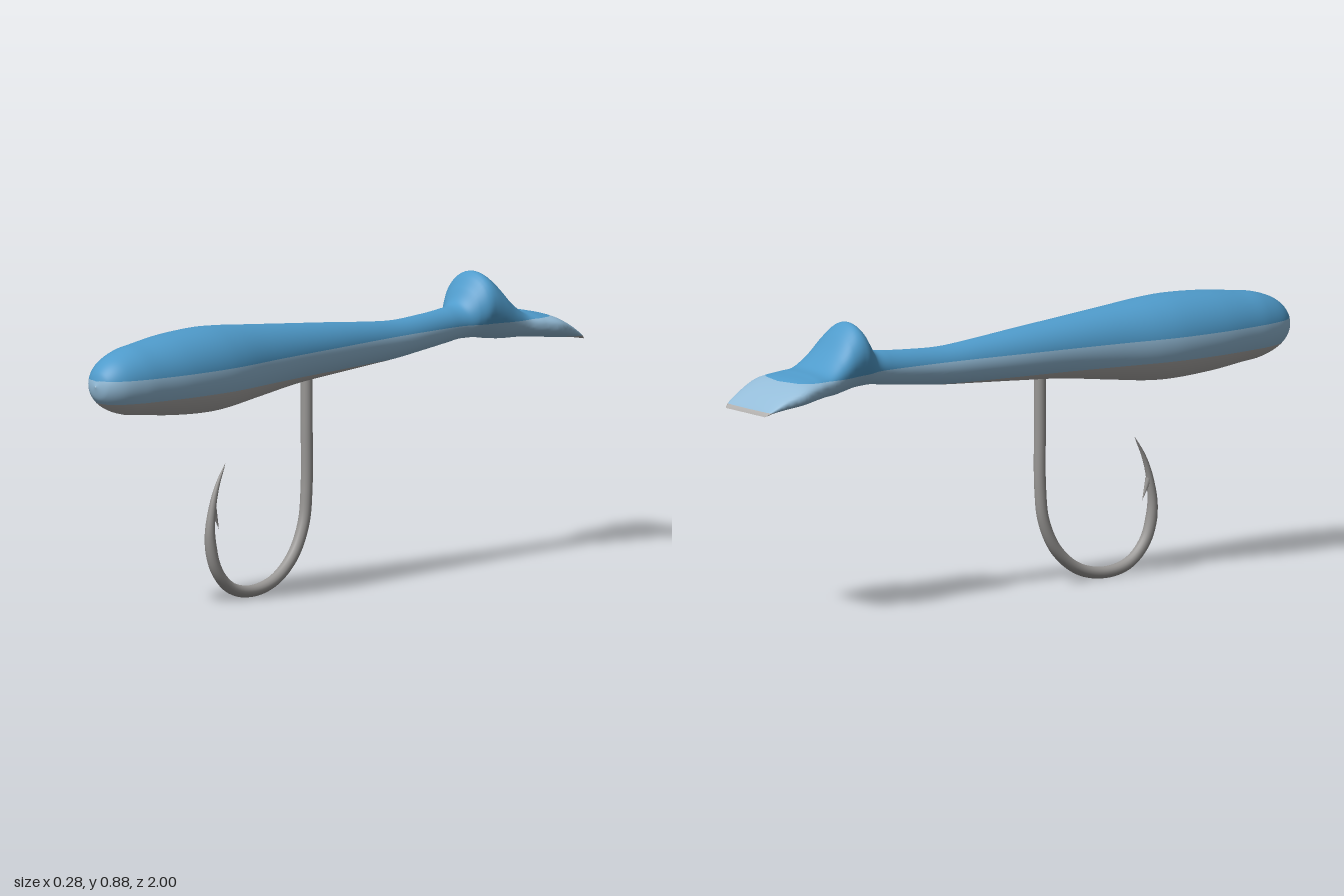
import * as THREE from 'three';

const mat = (name, color) => {
  const m = new THREE.MeshStandardMaterial({ color });
  m.name = name;
  return m;
};

// Body outline from nose to tail: z, top y, bottom y, half width
const OUTLINE = [
  [1, 0.713, 0.711, 0.001], [0.985, 0.755, 0.67, 0.042], [0.945, 0.79, 0.637, 0.075],
  [0.88, 0.814, 0.615, 0.097], [0.81, 0.824, 0.607, 0.11], [0.7, 0.837, 0.594, 0.124],
  [0.57, 0.843, 0.586, 0.129], [0.47, 0.839, 0.589, 0.124], [0.33, 0.826, 0.606, 0.106],
  [0.16, 0.81, 0.627, 0.089], [0, 0.795, 0.638, 0.076], [-0.15, 0.78, 0.647, 0.063],
  [-0.28, 0.77, 0.655, 0.055], [-0.4, 0.774, 0.667, 0.051], [-0.49, 0.781, 0.677, 0.051],
  [-0.545, 0.792, 0.684, 0.058], [-0.58, 0.838, 0.684, 0.08], [-0.605, 0.87, 0.683, 0.095],
  [-0.63, 0.88, 0.68, 0.1], [-0.665, 0.852, 0.674, 0.104], [-0.71, 0.799, 0.669, 0.108],
  [-0.76, 0.757, 0.669, 0.113], [-0.81, 0.745, 0.666, 0.127], [-0.87, 0.732, 0.659, 0.139],
  [-0.93, 0.704, 0.652, 0.125], [-0.975, 0.672, 0.648, 0.113], [-0.993, 0.655, 0.645, 0.105],
  [-1, 0.6455, 0.645, 0.098],
];
const [topLine, bottomLine, widthLine] = [1, 2, 3].map(
  (k) => new THREE.SplineCurve(OUTLINE.map((r) => new THREE.Vector2(r[0], r[k]))));

function section(u) {
  const top = topLine.getPoint(u), bottom = bottomLine.getPoint(u).y;
  const squareness = THREE.MathUtils.smoothstep(-top.x, 0.62, 0.85);
  return {
    z: top.x, mid: (top.y + bottom) / 2, h: Math.max((top.y - bottom) / 2, 1e-4),
    w: Math.max(widthLine.getPoint(u).y, 1e-4), p: 1 - 0.25 * squareness,
  };
}
const power = (v, p) => Math.sign(v) * Math.abs(v) ** p;

// Point on the left half of the body; a runs from belly to back
function skin(u, a) {
  const s = section(u);
  return new THREE.Vector3(
    s.w * power(Math.max(Math.cos(a), 0), s.p), s.mid + s.h * power(Math.sin(a), s.p), s.z);
}
function skinNormal(u, a) {
  const e = 0.001, lim = Math.PI / 2;
  const u0 = Math.max(u - e, 0), u1 = Math.min(u + e, 1);
  const b = THREE.MathUtils.clamp(a, -lim + 0.03, lim - 0.03);
  const du = skin(u1, b).sub(skin(u0, b));
  const da = skin(u, b + 0.02).sub(skin(u, b - 0.02));
  const n = du.cross(da).normalize();
  if (lim - Math.abs(a) < 1e-4) n.setX(0).normalize();
  return n;
}
// Angle at which a section reaches a given height
function angleAt(u, y) {
  const s = section(u);
  const v = THREE.MathUtils.clamp((y - s.mid) / s.h, -1, 1);
  return Math.asin(power(v, 1 / s.p));
}

// Strip of skin between two heights, mirrored on both sides
function colourBand(yLow, yHigh) {
  const rows = 260, cols = 14;
  const pos = [], nor = [], idx = [];
  for (const side of [1, -1]) {
    const base = pos.length / 3;
    for (let i = 0; i <= rows; i++) {
      const u = i / rows, a0 = angleAt(u, yLow), a1 = angleAt(u, yHigh);
      for (let j = 0; j <= cols; j++) {
        const a = a0 + (a1 - a0) * j / cols;
        const p = skin(u, a), n = skinNormal(u, a);
        pos.push(p.x * side, p.y, p.z);
        nor.push(n.x * side, n.y, n.z);
        if (i === rows || j === cols || (a1 - a0 < 1e-6 &&
          angleAt((i + 1) / rows, yHigh) - angleAt((i + 1) / rows, yLow) < 1e-6)) continue;
        const k = base + i * (cols + 1) + j, l = k + cols + 1;
        if (side > 0) idx.push(k, l, k + 1, l, l + 1, k + 1);
        else idx.push(k, k + 1, l, l, k + 1, l + 1);
      }
    }
  }
  const g = new THREE.BufferGeometry();
  g.setAttribute('position', new THREE.Float32BufferAttribute(pos, 3));
  g.setAttribute('normal', new THREE.Float32BufferAttribute(nor, 3));
  g.setIndex(idx);
  return g;
}

// Bent wire that thins to a point
function hookWire() {
  const path = new THREE.CatmullRomCurve3([
    [0.09, 0.7], [0.09, 0.5], [0.091, 0.3], [0.104, 0.2], [0.15, 0.108], [0.23, 0.043],
    [0.33, 0.021], [0.42, 0.042], [0.481, 0.105], [0.506, 0.2], [0.496, 0.29],
    [0.475, 0.355], [0.44, 0.42],
  ].map(([z, y]) => new THREE.Vector3(0, y, z)));
  const segs = 90, sides = 16;
  const g = new THREE.TubeGeometry(path, segs, 0.018, sides);
  const p = g.attributes.position, v = new THREE.Vector3();
  for (let i = 0; i <= segs; i++) {
    const c = path.getPointAt(i / segs);
    const scale = Math.min(1, ((1 - i / segs) / 0.2) ** 0.75);
    for (let j = 0; j <= sides; j++) {
      const k = i * (sides + 1) + j;
      v.fromBufferAttribute(p, k).sub(c).multiplyScalar(scale).add(c);
      p.setXYZ(k, v.x, v.y, v.z);
    }
  }
  return g;
}

export function createModel() {
  const model = new THREE.Group();
  model.name = 'fishingLure';
  const add = (parent, name, geometry, material) => {
    const mesh = new THREE.Mesh(geometry, material);
    mesh.name = name;
    parent.add(mesh);
    return mesh;
  };

  // Soft body with paddle tail, coloured in three level bands
  const body = new THREE.Group();
  body.name = 'body';
  model.add(body);
  add(body, 'back', colourBand(0.73, 2), mat('blue', 0x4f9bcb));
  add(body, 'flanks', colourBand(0.657, 0.73), mat('paleBlue', 0x94bcd8));
  add(body, 'belly', colourBand(-1, 0.657), mat('paleGrey', 0xb0aeac));

  // Hook and its barb
  const hook = new THREE.Group();
  hook.name = 'hook';
  model.add(hook);
  const steel = mat('steel', 0x999795);
  add(hook, 'hookWire', hookWire(), steel);
  const barb = add(hook, 'barb', new THREE.ConeGeometry(0.01, 0.07, 10), steel);
  barb.position.set(0, 0.256, 0.48);
  barb.rotation.x = Math.PI + 0.35;

  return model;
}
